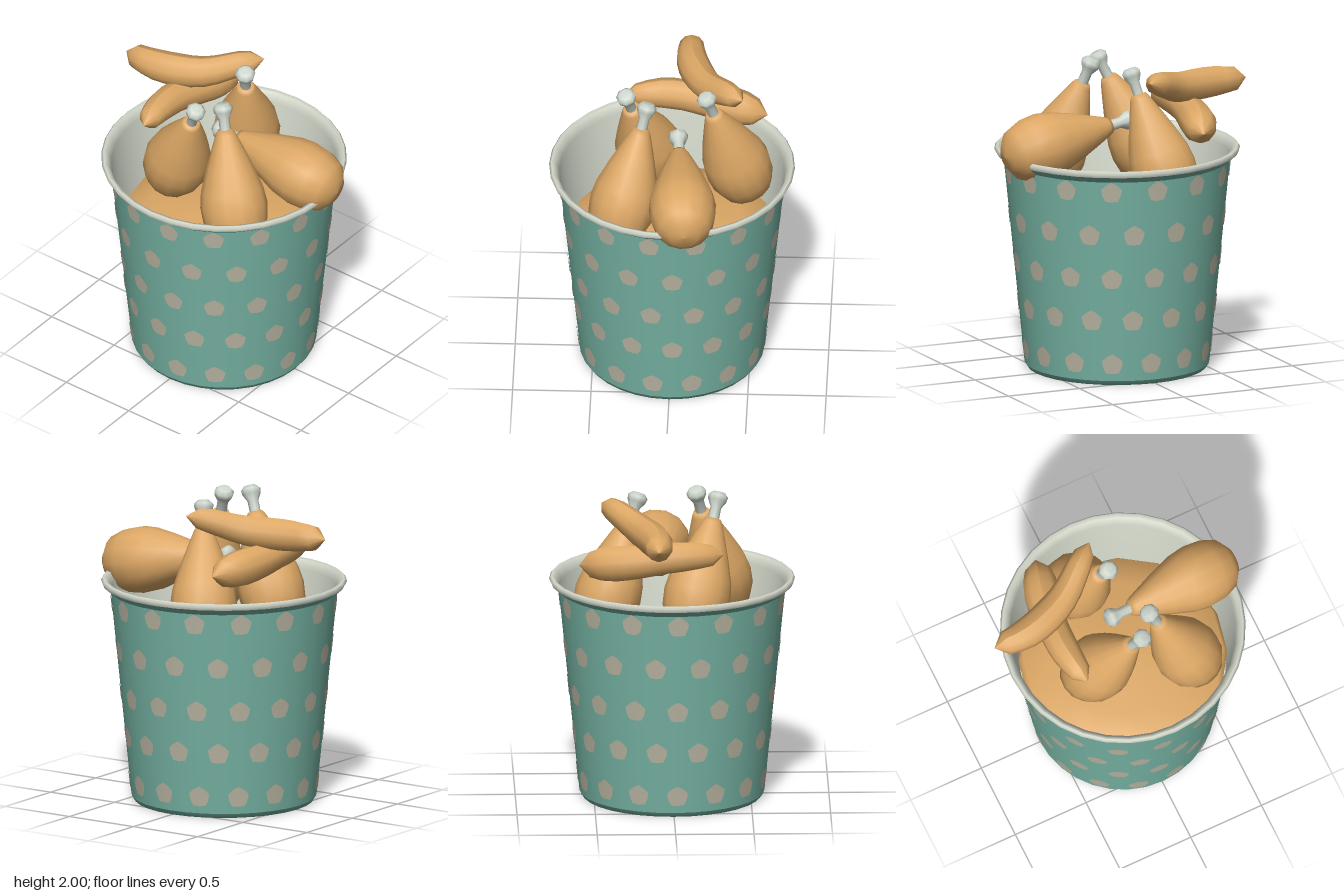
import * as THREE from 'three';

const mat = (name, color, side = THREE.FrontSide) => {
  const m = new THREE.MeshStandardMaterial({ color, side });
  m.name = name;
  return m;
};

export function createModel() {
  const root = new THREE.Group();
  root.name = 'chickenBucket';
  const teal = mat('teal card', 0x76b3a3);
  const cream = mat('cream spots', 0xb9b5a2, THREE.DoubleSide);
  const white = mat('white lining', 0xd5dacc, THREE.DoubleSide);
  const brown = mat('fried crust', 0xdca765);
  const bone = mat('bone', 0xcdd6cc);

  const add = (name, geometry, material, parent = root) => {
    const mesh = new THREE.Mesh(geometry, material);
    mesh.name = name;
    parent.add(mesh);
    return mesh;
  };
  const lathe = (points, sides) =>
    new THREE.LatheGeometry(points.map(([r, y]) => new THREE.Vector2(r, y)), sides);

  // Bucket: tapered wall, flared lip, white rim and lining
  const wallRadius = y => 0.587 + 0.1 * y;
  add('bucketWall', lathe([[wallRadius(0.03), 0.03], [wallRadius(1.36), 1.36]], 32), teal);
  add('bucketBase', lathe([[0, 0], [0.57, 0], [wallRadius(0.03), 0.03]], 32), teal);
  add('bucketLip', lathe([[wallRadius(1.36), 1.36], [0.772, 1.4]], 32), teal);
  add('rimAndLining', lathe([
    [0.772, 1.4], [0.784, 1.425], [0.77, 1.442], [0.745, 1.435], [0.718, 1.38], [0.66, 0.85],
  ], 32), white);

  // Spots: five staggered rows of pentagonal patches curved to the wall
  const positions = [], index = [];
  const onWall = (angle, y) => {
    const r = wallRadius(y) + 0.004;
    positions.push(Math.sin(angle) * r, y, Math.cos(angle) * r);
  };
  const SIDES = 10;
  [0.14, 0.43, 0.71, 1.0, 1.29].forEach((y, row) => {
    for (let i = 0; i < 15; i++) {
      const a = THREE.MathUtils.degToRad(i * 24 + (row % 2 ? -4 : 8));
      const start = positions.length / 3;
      onWall(a, y);
      for (let k = 0; k < SIDES; k++) {
        const t = (k / SIDES) * Math.PI * 2;
        const r = k % 2 ? 0.062 : 0.07;
        onWall(a + (Math.sin(t) * r) / wallRadius(y), y + Math.cos(t) * r);
        index.push(start, start + 1 + ((k + 1) % SIDES), start + 1 + k);
      }
    }
  });
  const spots = new THREE.BufferGeometry();
  spots.setAttribute('position', new THREE.Float32BufferAttribute(positions, 3));
  spots.setIndex(index);
  spots.computeVertexNormals();
  add('spots', spots, cream);

  // Mound of crust filling the bucket
  add('filling', lathe([[0.667, 0.9], [0.64, 0.97], [0.45, 1.04], [0, 1.08]], 16), brown);

  // Drumsticks: bone tip at the origin, meat hanging along -y
  const meat = lathe([
    [0, -0.95], [0.09, -0.935], [0.165, -0.88], [0.205, -0.78], [0.215, -0.67],
    [0.2, -0.57], [0.15, -0.42], [0.1, -0.29], [0.064, -0.2], [0.05, -0.175], [0, -0.17],
  ], 14);
  const shank = lathe([
    [0.036, -0.2], [0.035, -0.1], [0.06, -0.055], [0.064, -0.025], [0.04, 0], [0, -0.005],
  ], 8);
  const down = new THREE.Vector3(0, -1, 0);
  [
    ['frontLeft', [0.1, 1.985, 0.15], [0.25, -0.75, 0.18]],
    ['frontRight', [0.01, 1.985, 0.3], [-0.33, -0.75, -0.18]],
    ['back', [0.01, 1.985, -0.21], [-0.17, -0.75, -0.24]],
    ['resting', [-0.1, 1.61, -0.035], [0.8, -0.13, -0.06]],
  ].forEach(([name, tip, direction]) => {
    const stick = new THREE.Group();
    stick.name = name + 'Drumstick';
    stick.position.set(...tip);
    stick.quaternion.setFromUnitVectors(down, new THREE.Vector3(...direction).normalize());
    add('meat', meat, brown, stick);
    add('bone', shank, bone, stick);
    root.add(stick);
  });

  // Strips: tubes whose rings swell and close at both ends
  const strip = (name, path, radii) => {
    const curve = new THREE.CatmullRomCurve3(path.map(p => new THREE.Vector3(...p)));
    const rings = radii.length - 1, sides = 10;
    const g = new THREE.TubeGeometry(curve, rings, 1, sides, false);
    const pos = g.attributes.position, v = new THREE.Vector3();
    for (let i = 0; i <= rings; i++) {
      const c = curve.getPointAt(i / rings);
      for (let j = 0; j <= sides; j++) {
        const n = i * (sides + 1) + j;
        v.fromBufferAttribute(pos, n).sub(c).multiplyScalar(radii[i]).add(c);
        pos.setXYZ(n, v.x, v.y, v.z);
      }
    }
    g.computeVertexNormals();
    add(name, g, brown);
  };
  strip('upperStrip',
    [[-0.86, 1.82, -0.1], [-0.6, 1.815, -0.11], [-0.33, 1.83, -0.21], [-0.13, 1.9, -0.36], [-0.02, 1.93, -0.45]],
    [0, 0.078, 0.09, 0.1, 0.104, 0.105, 0.102, 0.098, 0.092, 0.086, 0.08, 0.066, 0]);
  strip('lowerStrip',
    [[-0.4, 1.68, 0.32], [-0.44, 1.68, 0.05], [-0.42, 1.64, -0.25], [-0.33, 1.6, -0.6]],
    [0, 0.07, 0.085, 0.095, 0.1, 0.1, 0.105, 0.11, 0.115, 0.118, 0.11, 0.085, 0]);

  return root;
}
